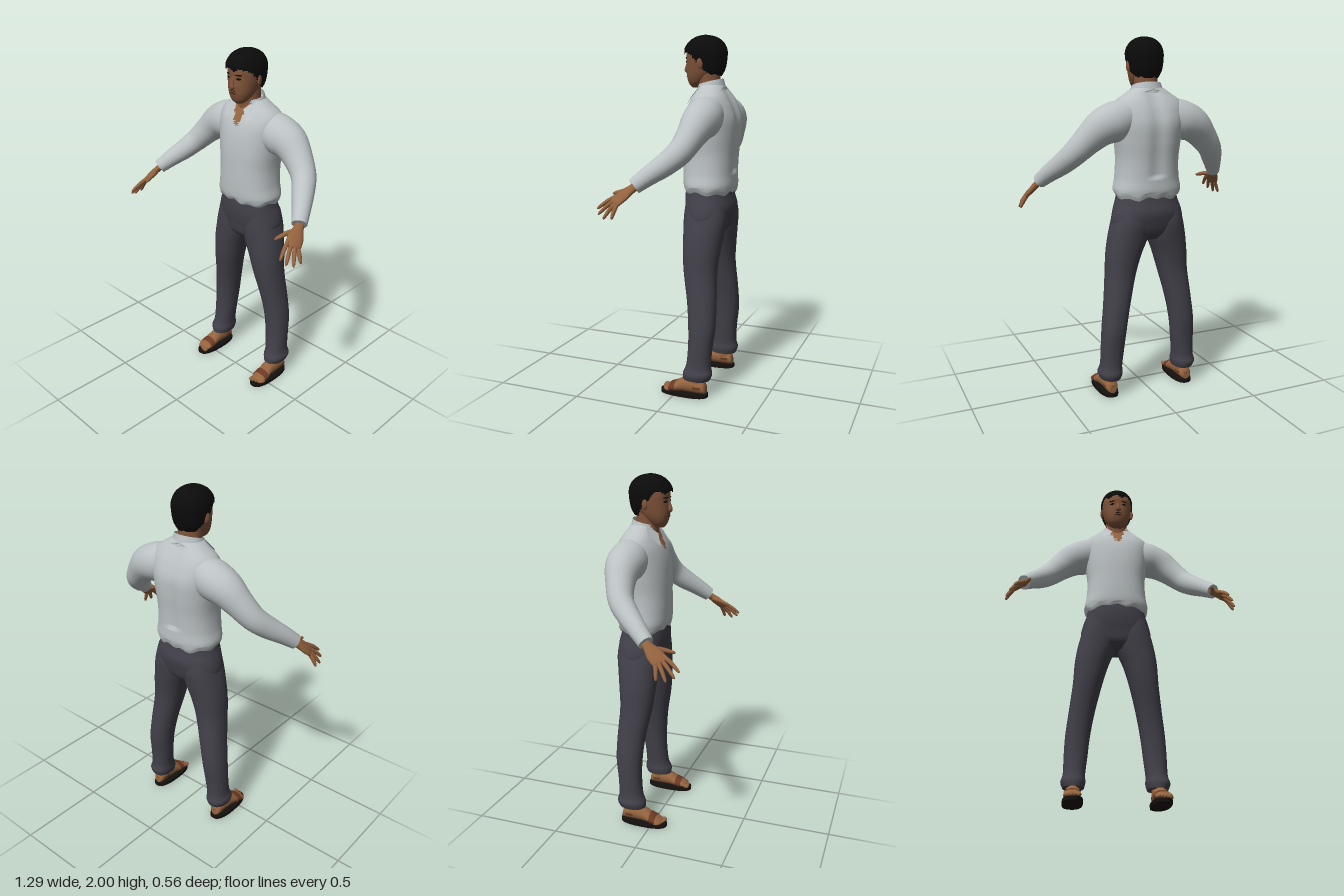
import * as THREE from 'three';

const mat = (name, color) => {
  const m = new THREE.MeshStandardMaterial({ color, side: THREE.DoubleSide });
  m.name = name;
  return m;
};

// Catmull-Rom interpolation of every column in a table of cross-sections
function refine(rows, steps) {
  const out = [];
  const n = rows.length;
  for (let i = 0; i < n - 1; i++) {
    const [a, b, c, d] = [rows[Math.max(i - 1, 0)], rows[i], rows[i + 1], rows[Math.min(i + 2, n - 1)]];
    for (let k = 0; k < steps; k++) {
      const t = k / steps;
      out.push(b.map((_, j) => b[j] + 0.5 * t * (c[j] - a[j]
        + t * (2 * a[j] - 5 * b[j] + 4 * c[j] - d[j] + t * (3 * (b[j] - c[j]) + d[j] - a[j])))));
    }
  }
  out.push(rows[n - 1]);
  return out;
}

// Skin over rows of [x, y, z, ru, rv]. axis fixes the ring direction, ref is the ru direction.
// pick(x, y, z) gives the material group of a face, or -1 to leave it out.
function loft(rows, { sides = 24, steps = 4, power = 2, axis, ref = [1, 0, 0], pick = () => 0, move, caps = true } = {}) {
  const rings = refine(rows, steps);
  const centers = rings.map(r => new THREE.Vector3(r[0], r[1], r[2]));
  const pts = [];
  rings.forEach((r, i) => {
    const t = axis ? new THREE.Vector3(...axis)
      : centers[Math.min(i + 1, rings.length - 1)].clone().sub(centers[Math.max(i - 1, 0)]).normalize();
    const u = new THREE.Vector3(...ref);
    u.addScaledVector(t, -u.dot(t)).normalize();
    const v = u.clone().cross(t);
    for (let j = 0; j < sides; j++) {
      const a = (j / sides) * Math.PI * 2;
      const f = w => Math.sign(w) * Math.pow(Math.abs(w), 2 / power);
      const p = centers[i].clone().addScaledVector(u, r[3] * f(Math.cos(a))).addScaledVector(v, r[4] * f(Math.sin(a)));
      if (move) move(p);
      pts.push(p);
    }
  });
  const groups = [[], []];
  const tri = (a, b, c) => {
    const m = pts[a].clone().add(pts[b]).add(pts[c]).divideScalar(3);
    const g = pick(m.x, m.y, m.z);
    if (g >= 0) groups[g].push(a, b, c);
  };
  for (let i = 0; i < rings.length - 1; i++) for (let j = 0; j < sides; j++) {
    const a = i * sides + j, b = i * sides + (j + 1) % sides;
    tri(a, a + sides, b);
    tri(b, a + sides, b + sides);
  }
  if (caps) for (const end of [0, rings.length - 1]) {
    const base = pts.length;
    for (let j = 0; j < sides; j++) pts.push(pts[end * sides + j].clone());
    pts.push(centers[end].clone());
    for (let j = 0; j < sides; j++) {
      const a = base + j, b = base + (j + 1) % sides;
      end ? tri(a, base + sides, b) : tri(a, b, base + sides);
    }
  }
  const geo = new THREE.BufferGeometry().setFromPoints(pts);
  geo.setIndex([...groups[0], ...groups[1]]);
  geo.addGroup(0, groups[0].length, 0);
  geo.addGroup(groups[0].length, groups[1].length, 1);
  geo.computeVertexNormals();
  return geo;
}

// Horizontal slices [y, xMin, xMax, zFront, zBack], listed upward
const slices = (rows, opt = {}) => loft(
  rows.map(([y, a, b, f, k]) => [(a + b) / 2, y, (f + k) / 2, (b - a) / 2, (f - k) / 2]), { axis: [0, 1, 0], ...opt });
const even = rows => rows.map(([y, w, f, k]) => [y, -w, w, f, k]);

export function createModel() {
  const model = new THREE.Group();
  const shirt = mat('shirt grey', 0xbcc2c4), trousers = mat('trouser grey', 0x42414a);
  const face = mat('face skin', 0x80543a), skin = mat('hand skin', 0x94633f);
  const hair = mat('hair black', 0x0b0b0b), sole = mat('sole black', 0x14110e);
  const strap = mat('strap brown', 0x6b3a24), lips = mat('lip brown', 0x4e2a20);
  const add = (name, geo, material) => {
    const m = new THREE.Mesh(geo, material);
    m.name = name;
    model.add(m);
    return m;
  };

  // Shirt body with an open neckline, uneven hem and a shallow spine groove
  add('shirtBody', slices(even([
    [1.14, 0.178, 0.005, -0.25], [1.18, 0.192, 0.022, -0.262], [1.25, 0.18, 0.027, -0.262],
    [1.35, 0.175, 0.027, -0.268], [1.45, 0.185, 0.025, -0.278], [1.54, 0.195, 0.015, -0.28],
    [1.61, 0.2, -0.004, -0.26], [1.66, 0.185, -0.03, -0.235], [1.70, 0.13, -0.05, -0.21], [1.73, 0.085, -0.06, -0.19]]),
  { sides: 64, steps: 7, power: 2.3,
    pick: (x, y, z) => (z > -0.1 && Math.abs(x) < (y - 1.575) * 0.42 ? 1 : 0),
    move: p => {
      const a = Math.atan2(p.z + 0.12, p.x);
      if (p.y < 1.17) p.y += 0.007 * Math.sin(a * 9) + 0.005 * Math.sin(a * 4 + 1);
      if (p.z < -0.2 && p.y > 1.25) p.z += 0.014 * Math.exp(-((p.x / 0.04) ** 2));
    } }), [shirt, skin]);

  // Collar band, higher at the back
  add('collarBand', slices(even([[1.68, 0.1, -0.03, -0.2], [1.745, 0.08, -0.045, -0.185]]), {
    sides: 40, caps: false, pick: (x, y, z) => (z > -0.08 && Math.abs(x) < 0.055 ? -1 : 0),
    move: p => { p.y -= (p.z + 0.11) * 0.25; } }), shirt);

  // Hips
  add('hips', slices(even([
    [0.9, 0.12, -0.05, -0.19], [0.94, 0.18, -0.015, -0.228], [1.0, 0.207, -0.002, -0.248],
    [1.06, 0.198, 0.01, -0.258], [1.12, 0.178, 0.014, -0.245], [1.18, 0.165, 0.008, -0.235]]),
  { sides: 40, power: 2.3 }), trousers);

  // Neck and head
  add('neck', slices(even([[1.6, 0.075, -0.035, -0.18], [1.69, 0.064, -0.042, -0.17], [1.8, 0.066, -0.04, -0.165]])), face);
  add('head', slices(even([
    [1.715, 0.022, -0.01, -0.055], [1.735, 0.048, 0.008, -0.08], [1.77, 0.068, 0.02, -0.125],
    [1.81, 0.08, 0.024, -0.165], [1.86, 0.089, 0.022, -0.185], [1.91, 0.09, 0.022, -0.188],
    [1.955, 0.075, -0.005, -0.165], [1.98, 0.04, -0.04, -0.12]]), { sides: 32, power: 2.2 }), face);
  add('hair', slices(even([
    [1.78, 0.07, 0, -0.175], [1.82, 0.09, 0.02, -0.195], [1.88, 0.099, 0.032, -0.205], [1.925, 0.098, 0.036, -0.203],
    [1.965, 0.08, 0.01, -0.18], [1.99, 0.048, -0.03, -0.14], [2.0, 0.012, -0.07, -0.095]]), {
    sides: 48, steps: 6, power: 2.1,
    pick: (x, y, z) => (y > 1.905 - 0.125 * THREE.MathUtils.clamp((-0.025 - z) / 0.11, 0, 1)
      - 0.008 * Math.sin(x * 90) ? 0 : -1) }), hair);
  add('nose', loft([[0, 1.868, 0.016, 0.007, 0.006], [0, 1.83, 0.025, 0.011, 0.012], [0, 1.812, 0.026, 0.017, 0.015],
    [0, 1.803, 0.02, 0.012, 0.01]], { sides: 12 }), face);
  const blob = (name, material, p, s, ry = 0) => {
    const m = add(name, new THREE.SphereGeometry(1, 14, 10), material);
    m.position.set(...p);
    m.scale.set(...s);
    m.rotation.y = ry;
  };
  blob('mouth', lips, [0, 1.778, 0.02], [0.022, 0.006, 0.006]);
  blob('moustache', hair, [0, 1.791, 0.021], [0.02, 0.0025, 0.004]);

  for (const s of [1, -1]) {
    const side = s > 0 ? 'left' : 'right';
    const limb = (name, rows, material, opt = {}) =>
      add(side + name, loft(rows.map(([x, ...r]) => [s * x, ...r]), opt), material);
    const span = rows => rows.map(([y, a, b, f, k]) => [y, Math.min(s * a, s * b), Math.max(s * a, s * b), f, k]);

    // Face details
    blob(side + 'Eye', hair, [s * 0.037, 1.857, 0.014], [0.014, 0.006, 0.005], s * 0.45);
    blob(side + 'Eyebrow', hair, [s * 0.038, 1.877, 0.015], [0.02, 0.004, 0.005], s * 0.45);
    blob(side + 'Ear', face, [s * 0.094, 1.845, -0.085], [0.009, 0.03, 0.018], s * 0.3);

    // Collar flap
    const flap = new THREE.BufferGeometry().setFromPoints(
      [[0.07, 1.735, -0.085], [0.03, 1.685, -0.03], [0.077, 1.625, 0.0], [0.12, 1.68, -0.055]]
        .map(([x, y, z]) => new THREE.Vector3(s * x, y, z)));
    flap.setIndex(s > 0 ? [0, 1, 2, 0, 2, 3] : [0, 2, 1, 0, 3, 2]);
    flap.computeVertexNormals();
    add(side + 'CollarFlap', flap, shirt);

    // Sleeve, from inside the shoulder to the wrist
    limb('Sleeve', [
      [0.1, 1.58, -0.14, 0.09, 0.1], [0.19, 1.555, -0.143, 0.105, 0.11], [0.27, 1.525, -0.142, 0.095, 0.1],
      [0.34, 1.465, -0.127, 0.077, 0.082], [0.41, 1.39, -0.095, 0.067, 0.068], [0.46, 1.33, -0.035, 0.06, 0.06],
      [0.51, 1.275, 0.035, 0.05, 0.05], [0.55, 1.225, 0.095, 0.042, 0.04]], shirt, { ref: [0, 0.3, 1], sides: 28 });

    // Hand: palm, four fingers and thumb
    const across = [-0.72 * s, 0.61, 0.33];
    limb('Palm', [
      [0.54, 1.235, 0.075, 0.026, 0.02], [0.557, 1.21, 0.108, 0.028, 0.019], [0.572, 1.18, 0.145, 0.043, 0.018],
      [0.586, 1.15, 0.18, 0.043, 0.014], [0.592, 1.142, 0.19, 0.035, 0.009]], skin, { ref: across, sides: 16 });
    const tips = [[0.592, 1.105, 0.285], [0.617, 1.08, 0.268], [0.635, 1.062, 0.23], [0.64, 1.065, 0.18]];
    tips.forEach((tip, i) => {
      const k = 0.032 - i * 0.0215;
      const root = [0.583 - 0.72 * k, 1.153 + 0.61 * k, 0.177 + 0.33 * k];
      const at = (t, r) => [...root.map((c, j) => c + (tip[j] - c) * t + (j === 1 ? 0.006 * Math.sin(t * Math.PI) : 0)), r, r];
      limb('Finger' + (i + 1), [at(0, 0.012), at(0.5, 0.011), at(0.9, 0.008), at(1, 0.002)], skin, { ref: across, sides: 10 });
    });
    limb('Thumb', [[0.553, 1.2, 0.12, 0.014, 0.014], [0.53, 1.193, 0.17, 0.013, 0.012],
      [0.514, 1.18, 0.222, 0.009, 0.008], [0.51, 1.174, 0.237, 0.002, 0.002]], skin, { ref: across, sides: 10 });

    // Trouser leg with a loose cuff
    add(side + 'TrouserLeg', slices(span([
      [0.1, 0.172, 0.288, -0.045, -0.2], [0.135, 0.164, 0.3, -0.045, -0.212], [0.18, 0.166, 0.288, -0.062, -0.203],
      [0.28, 0.155, 0.286, -0.072, -0.208], [0.4, 0.142, 0.281, -0.07, -0.222], [0.54, 0.117, 0.265, -0.055, -0.22],
      [0.7, 0.078, 0.247, -0.025, -0.212], [0.82, 0.042, 0.24, -0.012, -0.222], [0.92, 0.003, 0.226, -0.006, -0.236],
      [1.0, 0.0, 0.207, -0.003, -0.245], [1.08, 0.02, 0.185, -0.01, -0.235]]), { sides: 32, power: 2.2 }), trousers);

    // Foot and toes
    limb('Foot', [
      [0.235, 0.04, -0.18, 0.02, 0.018], [0.235, 0.055, -0.165, 0.034, 0.036], [0.235, 0.064, -0.11, 0.038, 0.046],
      [0.235, 0.06, -0.05, 0.04, 0.042], [0.237, 0.045, 0.0, 0.046, 0.028], [0.239, 0.034, 0.045, 0.045, 0.016],
      [0.239, 0.03, 0.062, 0.036, 0.01]], skin, { axis: [0, 0, 1], sides: 20 });
    limb('Ankle', [[0.233, 0.05, -0.12, 0.036, 0.045], [0.231, 0.16, -0.13, 0.036, 0.045]], skin, { axis: [0, 1, 0] });
    for (let i = 0; i < 5; i++) {
      const r = i ? 0.0085 : 0.012;
      blob(side + 'Toe' + (i + 1), skin, [s * (0.206 + i * 0.018), 0.03, 0.066 - i * i * 0.0018], [r, r, 0.018]);
    }

    // Sandal sole and straps
    add(side + 'SandalSole', slices(span([[0, 0.18, 0.29, 0.09, -0.19], [0.02, 0.18, 0.29, 0.09, -0.19]]),
      { sides: 32, steps: 1, power: 2.5 }), sole);
    limb('FrontStrap', [[0.237, 0.045, -0.005, 0.049, 0.033], [0.238, 0.038, 0.03, 0.049, 0.025]],
      strap, { axis: [0, 0, 1], steps: 2, caps: false, pick: (x, y) => (y > 0.016 ? 0 : -1) });
    limb('HeelStrap', [[0.235, 0.05, -0.13, 0.041, 0.05], [0.235, 0.064, -0.13, 0.041, 0.05]],
      strap, { axis: [0, 1, 0], steps: 1, caps: false });
  }
  return model;
}
